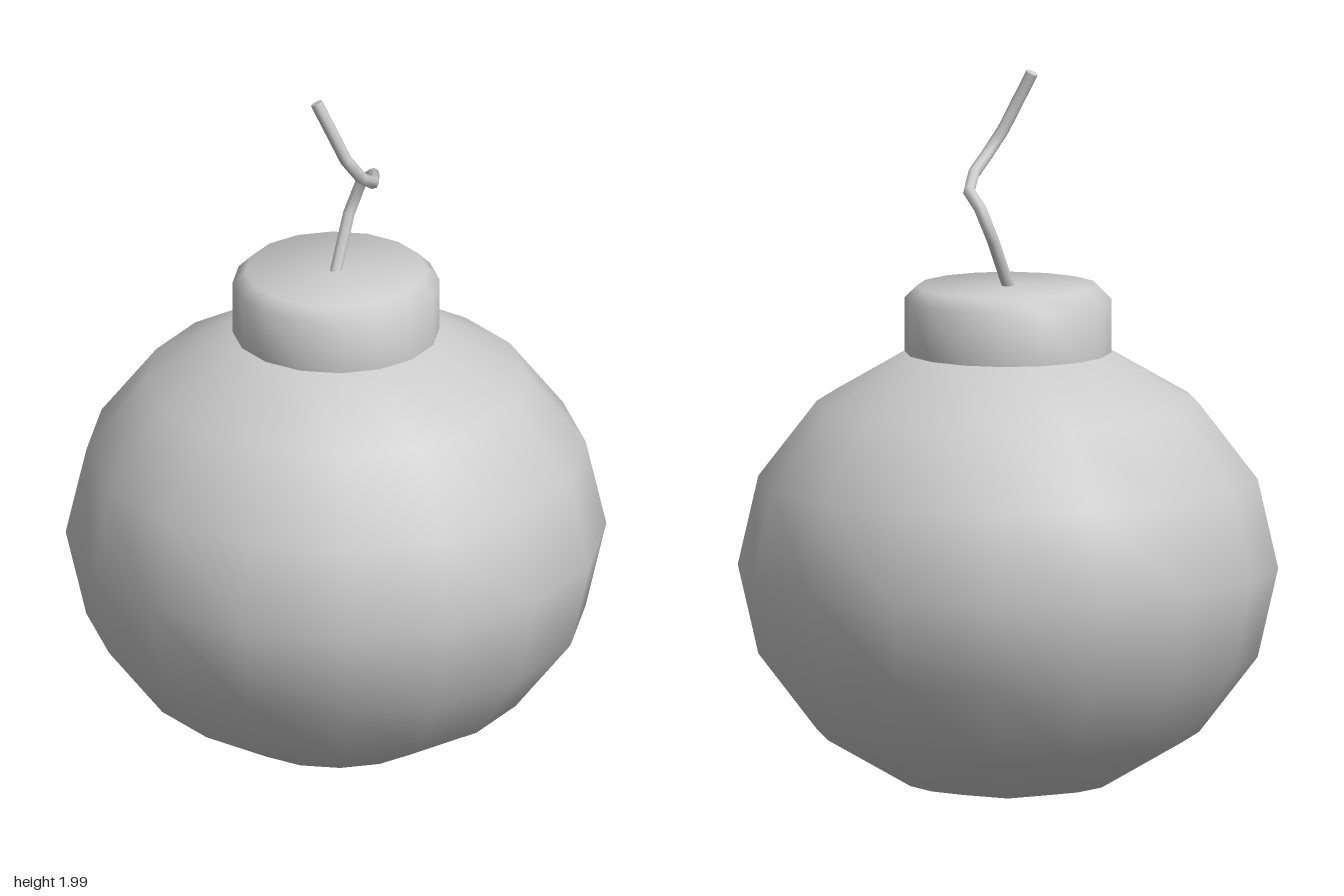
import * as THREE from 'three';
import { toCreasedNormals } from 'three/addons/utils/BufferGeometryUtils.js';

const RADIUS = 0.74, HALF_HEIGHT = 0.643, CENTRE_Y = 0.648, SIDES = 16;

// Straight-sided path with mitred corners, one sample per point
class BentPath extends THREE.Curve {
  constructor(points) {
    super();
    this.points = points;
  }
  getPoint(t, target = new THREE.Vector3()) {
    const n = this.points.length - 1;
    const f = t * n, i = Math.min(Math.floor(f + 1e-6), n - 1);
    return target.lerpVectors(this.points[i], this.points[i + 1], f - i);
  }
  getPointAt(u, target) {
    return this.getPoint(u, target);
  }
  getTangentAt(u, target = new THREE.Vector3()) {
    const p = this.points, i = Math.round(u * (p.length - 1));
    target.set(0, 0, 0);
    for (const j of [i - 1, i]) {
      if (j >= 0 && j < p.length - 1) target.add(p[j + 1].clone().sub(p[j]).normalize());
    }
    return target.normalize();
  }
}

export function createModel() {
  const group = new THREE.Group();
  const material = new THREE.MeshStandardMaterial({ color: 0xcccccc });
  const add = (name, geometry) => {
    const mesh = new THREE.Mesh(geometry, material);
    mesh.name = name;
    group.add(mesh);
    return mesh;
  };

  // Slightly flattened round body
  const body = new THREE.SphereGeometry(RADIUS, SIDES, 8);
  body.scale(1, HALF_HEIGHT / RADIUS, 1).translate(0, CENTRE_Y, 0);
  add('body', body);

  // Collar with a bevelled top rim, rising from the body's upper ring
  const collarRadius = RADIUS * Math.sin(Math.PI / 8);
  const collarBase = CENTRE_Y + HALF_HEIGHT * Math.cos(Math.PI / 8);
  const collar = new THREE.LatheGeometry([
    new THREE.Vector2(collarRadius, collarBase),
    new THREE.Vector2(collarRadius, 1.39),
    new THREE.Vector2(collarRadius - 0.035, 1.425),
    new THREE.Vector2(0, 1.425),
  ], SIDES);
  add('collar', toCreasedNormals(collar, Math.PI / 3));

  // Bent fuse
  const fusePath = new BentPath([
    [0, 1.41, 0.01], [0.008, 1.56, -0.08], [0.035, 1.65, -0.105], [0.08, 1.69, -0.08],
    [0.122, 1.722, 0.04], [0.115, 1.765, 0.11], [0.085, 1.83, 0.15], [0, 1.992, 0.155],
  ].map((p) => new THREE.Vector3(...p)));
  add('fuse', new THREE.TubeGeometry(fusePath, fusePath.points.length - 1, 0.017, 8));

  // Flat end of the fuse
  const tip = add('fuseTip', new THREE.CircleGeometry(0.017, 8));
  tip.position.copy(fusePath.getPoint(1));
  tip.quaternion.setFromUnitVectors(new THREE.Vector3(0, 0, 1), fusePath.getTangentAt(1));

  return group;
}
